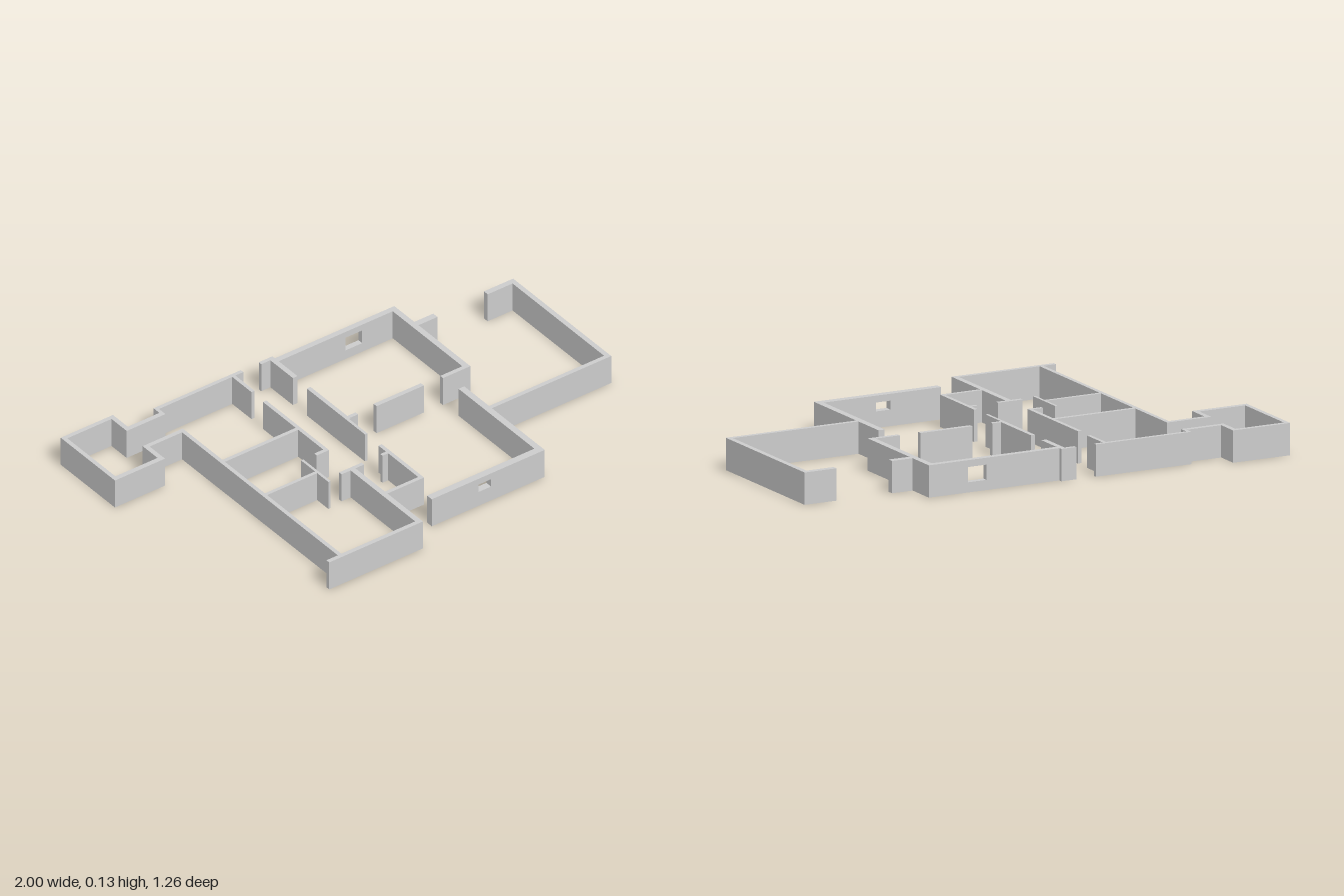
import * as THREE from 'three';

const HEIGHT = 0.127;
const material = new THREE.MeshStandardMaterial({ color: 0xcccccc, flatShading: true });

// Footprints per area: [x1, z1, x2, z2]
const areas = {
  annexWalls: [
    [-1, -0.63, -0.752, -0.612],
    [-1, -0.612, -0.982, -0.305],
    [-1, -0.305, -0.762, -0.284],
    [-0.782, -0.382, -0.762, -0.305],
    [-0.782, -0.4, -0.591, -0.382],
    [-0.772, -0.612, -0.752, -0.535],
    [-0.772, -0.535, -0.588, -0.515],
  ],
  bedroomWalls: [
    [-0.602, -0.556, -0.588, -0.535],
    [-0.602, -0.572, -0.187, -0.556],
    [-0.608, -0.382, -0.591, 0.612],
    [-0.662, 0.612, -0.217, 0.63],
    [-0.24, 0.2, -0.217, 0.612],
    [-0.283, 0.184, -0.176, 0.2],
    [-0.591, -0.147, -0.243, -0.131],
    [-0.243, -0.356, -0.227, 0.045],
    [-0.286, 0.029, -0.243, 0.045],
    [-0.24, -0.556, -0.225, -0.433],
    [-0.353, 0.035, -0.342, 0.209],
    [-0.591, 0.124, -0.353, 0.138],
  ],
  hallWalls: [
    [-0.217, 0.388, -0.043, 0.404],
    [-0.059, 0.134, -0.043, 0.388],
    [-0.086, 0.182, -0.059, 0.196],
    [-0.102, -0.572, -0.037, -0.556],
    [-0.059, -0.556, -0.037, -0.412],
    [-0.057, -0.326, -0.039, -0.072],
    [-0.057, -0.072, -0.045, 0.045],
    [-0.039, -0.091, 0, -0.075],
  ],
  livingWalls: [
    [0.088, -0.094, 0.313, -0.075],
    [0.4, -0.088, 0.505, -0.07],
    [0.505, -0.532, 0.53, -0.07],
    [0.406, 0.021, 0.433, 0.535],
  ],
  garageWalls: [
    [0.53, -0.428, 0.62, -0.401],
    [0.861, -0.428, 1, -0.404],
    [0.979, -0.404, 1, 0.18],
    [0.433, 0.18, 1, 0.198],
  ],
};

function wall([x1, z1, x2, z2]) {
  const mesh = new THREE.Mesh(new THREE.BoxGeometry(x2 - x1, HEIGHT, z2 - z1), material);
  mesh.position.set((x1 + x2) / 2, HEIGHT / 2, (z1 + z2) / 2);
  mesh.name = 'wall';
  return mesh;
}

// Rectangle outline used for both wall faces and window openings
function rectangle(Type, x1, y1, x2, y2) {
  return new Type([[x1, y1], [x2, y1], [x2, y2], [x1, y2]].map(([x, y]) => new THREE.Vector2(x, y)));
}

function windowWall(name, [x1, z1, x2, z2], opening) {
  const shape = rectangle(THREE.Shape, x1, 0, x2, HEIGHT);
  shape.holes.push(rectangle(THREE.Path, ...opening));
  const geometry = new THREE.ExtrudeGeometry(shape, { depth: z2 - z1, bevelEnabled: false });
  const mesh = new THREE.Mesh(geometry, material);
  mesh.position.z = z1;
  mesh.name = name;
  return mesh;
}

export function createModel() {
  const model = new THREE.Group();
  model.name = 'floorPlanWalls';

  for (const [name, footprints] of Object.entries(areas)) {
    const area = new THREE.Group();
    area.name = name;
    footprints.forEach((footprint) => area.add(wall(footprint)));
    model.add(area);
  }

  // Outer walls with a window; openings are [x1, y1, x2, y2]
  model.add(windowWall('backWindowWall', [-0.037, -0.556, 0.53, -0.532], [0.28, 0.04, 0.36, 0.1]));
  model.add(windowWall('frontWindowWall', [-0.104, 0.505, 0.406, 0.535], [0.117, 0.065, 0.178, 0.1]));

  return model;
}
